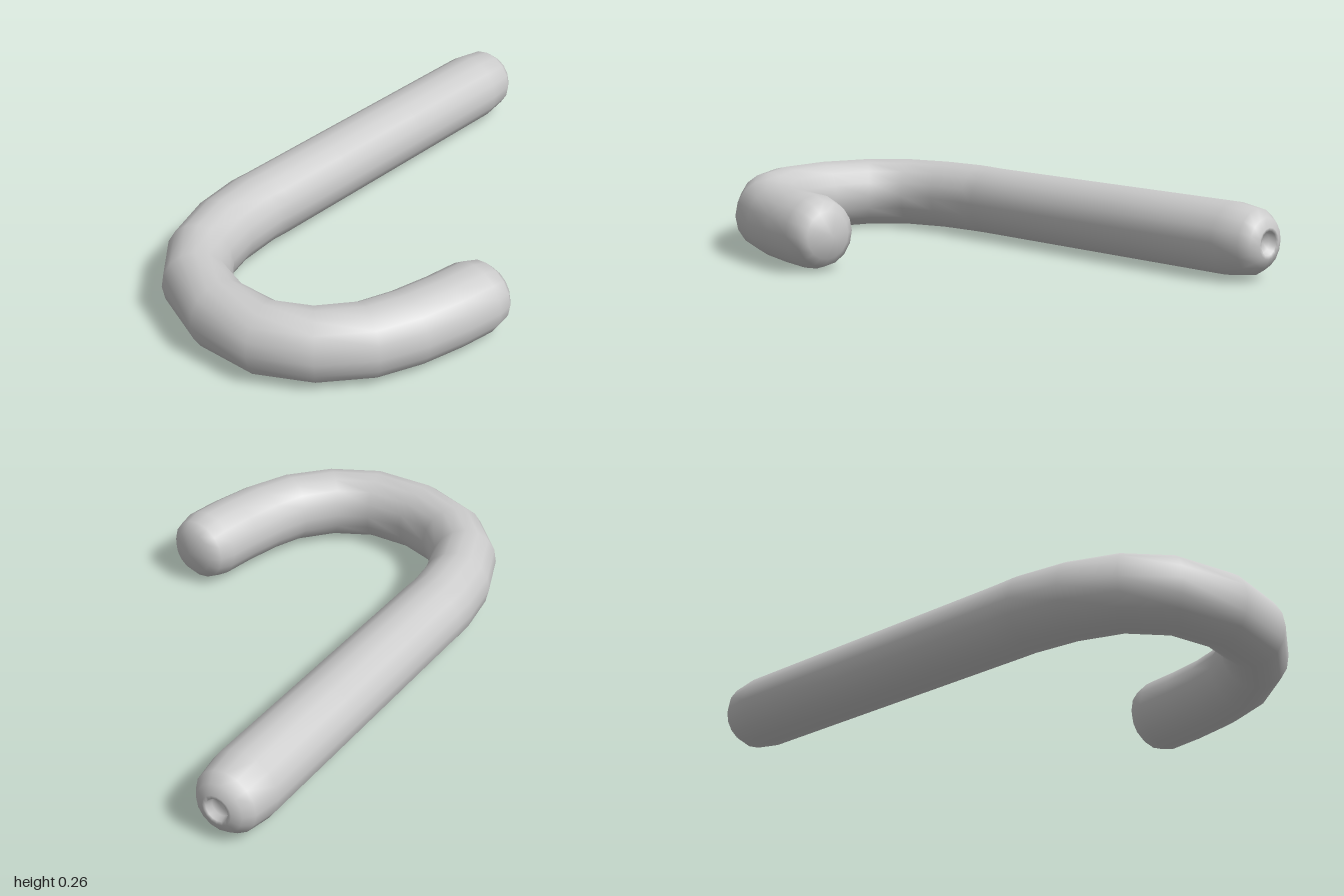
import * as THREE from 'three';

const SIDES = 16, RADIUS = 0.132, STEM_X = -0.47;

// A ring spans the outer and inner edge of the bend (in plan) and has its own half height.
const ring = (ox, oz, ix, iz, h = RADIUS) => ({ ox, oz, ix, iz, h });
const stemRing = (z, r) => ring(STEM_X - r, z, STEM_X + r, z, r);

// Joins the rings into one closed smooth skin.
function skin(rings) {
  const pos = [], index = [];
  for (const { ox, oz, ix, iz, h } of rings) {
    for (let j = 0; j < SIDES; j++) {
      const a = (j / SIDES) * Math.PI * 2, c = Math.cos(a) / 2;
      pos.push((ox + ix) / 2 + (ox - ix) * c, RADIUS + h * Math.sin(a), (oz + iz) / 2 + (oz - iz) * c);
    }
  }
  for (let i = 0; i < rings.length - 1; i++) {
    for (let j = 0; j < SIDES; j++) {
      const a = i * SIDES + j, b = i * SIDES + ((j + 1) % SIDES);
      index.push(a, a + SIDES, b, b, a + SIDES, b + SIDES);
    }
  }
  // Close both ends with a fan
  const first = pos.length / 3, last = first + 1, end = (rings.length - 1) * SIDES;
  for (const { ox, oz, ix, iz, pole } of [rings[0], rings[rings.length - 1]]) {
    const p = pole || [(ox + ix) / 2, (oz + iz) / 2];
    pos.push(p[0], RADIUS, p[1]);
  }
  for (let j = 0; j < SIDES; j++) {
    const k = (j + 1) % SIDES;
    index.push(first, j, k, last, end + k, end + j);
  }
  const geo = new THREE.BufferGeometry();
  geo.setAttribute('position', new THREE.Float32BufferAttribute(pos, 3));
  geo.setIndex(index);
  geo.computeVertexNormals();
  return geo;
}

export function createModel() {
  const rings = [
    // Small dimple and rounded end of the straight stem
    stemRing(-0.975, 0.035), stemRing(-0.998, 0.042), stemRing(-1, 0.055),
    stemRing(-0.985, 0.088), stemRing(-0.95, 0.115), stemRing(-0.85, 0.13),
    // Straight stem
    stemRing(-0.4, 0.13), stemRing(0, 0.13), stemRing(0.3, 0.13),
    // Hook
    ring(-0.6, 0.39, -0.345, 0.36),
    ring(-0.573, 0.57, -0.33, 0.51),
    ring(-0.5, 0.76, -0.29, 0.64),
    ring(-0.36, 0.91, -0.2, 0.73),
    ring(-0.12, 1, -0.07, 0.77),
    ring(0.13, 0.99, 0.07, 0.765),
    ring(0.33, 0.88, 0.17, 0.71),
    ring(0.47, 0.72, 0.25, 0.61),
    ring(0.54, 0.56, 0.29, 0.5),
    ring(0.58, 0.4, 0.32, 0.37),
    ring(0.6, 0.27, 0.34, 0.245),
    // Rounded tip
    ring(0.594, 0.215, 0.362, 0.19, 0.115),
    { ...ring(0.57, 0.185, 0.4, 0.165, 0.085), pole: [0.485, 0.15] },
  ];
  const material = new THREE.MeshStandardMaterial({ color: 0xcccccc });
  const cane = new THREE.Mesh(skin(rings), material);
  cane.name = 'hookedCane';
  const group = new THREE.Group();
  group.name = 'cane';
  group.add(cane);
  return group;
}
